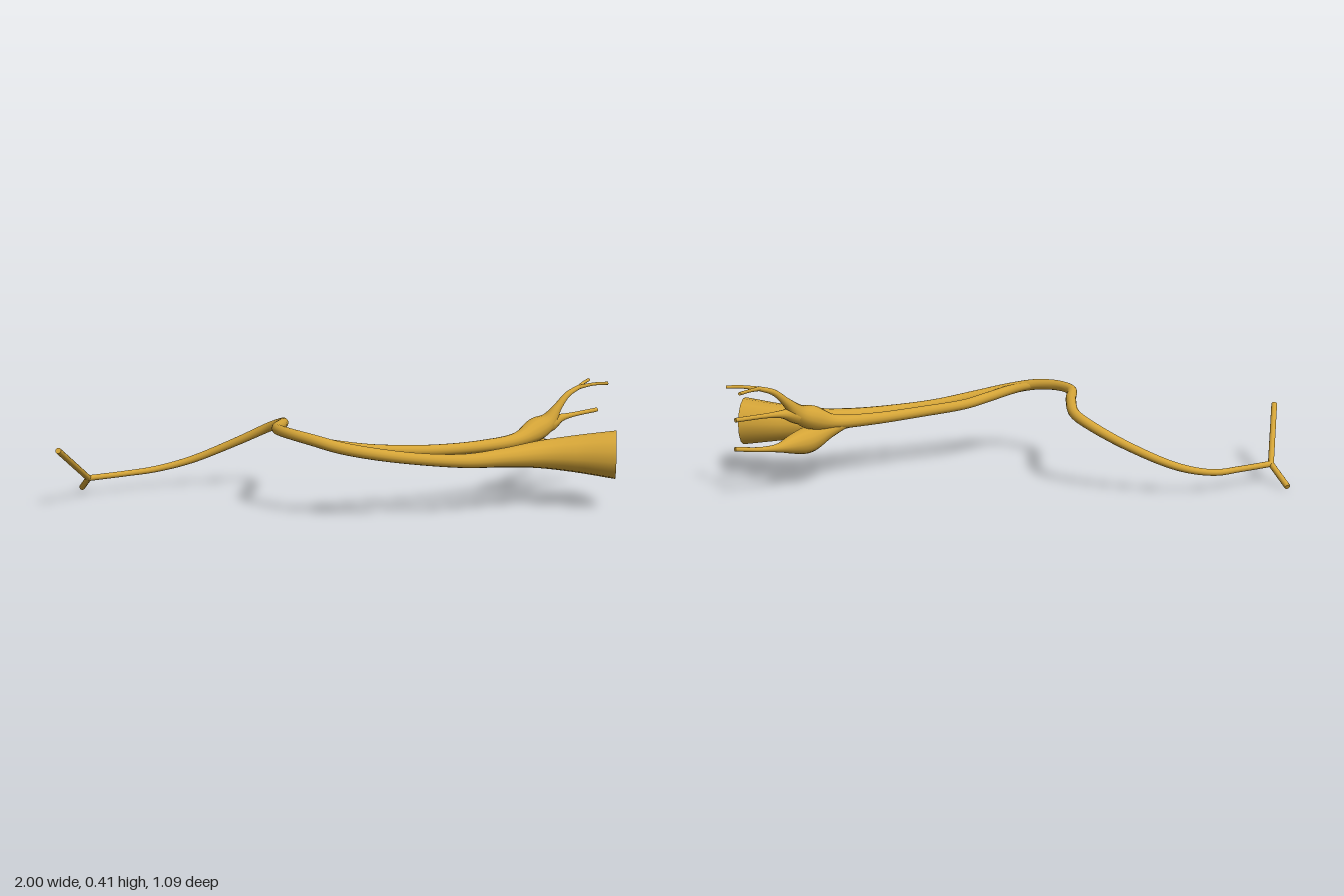
import * as THREE from 'three';

const ochre = new THREE.MeshStandardMaterial({ color: 0xd4a437 });
ochre.name = 'ochre';

// Smooth strand through [x, y, z, radius] stations, closed with flat caps
function strand(name, stations, segments = 40, sides = 14) {
  const group = new THREE.Group();
  group.name = name;
  const curve = new THREE.CatmullRomCurve3(stations.map(([x, y, z]) => new THREE.Vector3(x, y, z)));
  const radii = new THREE.CatmullRomCurve3(
    stations.map((s) => new THREE.Vector3(s[3], 0, 0)), false, 'catmullrom', 0.5);
  const geometry = new THREE.TubeGeometry(curve, segments, 1, sides);
  const pos = geometry.attributes.position;
  const v = new THREE.Vector3();
  for (let i = 0; i <= segments; i++) {
    const centre = curve.getPointAt(i / segments);
    const radius = radii.getPoint(curve.getUtoTmapping(i / segments)).x;
    for (let j = 0; j <= sides; j++) {
      const k = i * (sides + 1) + j;
      v.fromBufferAttribute(pos, k).sub(centre).multiplyScalar(radius).add(centre);
      pos.setXYZ(k, v.x, v.y, v.z);
    }
  }
  const tube = new THREE.Mesh(geometry, ochre);
  tube.name = name + 'Tube';
  group.add(tube);

  // End caps reuse the first and last rings
  for (const end of [0, 1]) {
    const points = [];
    const c = curve.getPointAt(end);
    const start = end * segments * (sides + 1);
    for (let j = 0; j < sides; j++) {
      const a = new THREE.Vector3().fromBufferAttribute(pos, start + j);
      const b = new THREE.Vector3().fromBufferAttribute(pos, start + j + 1);
      const n = b.clone().sub(a).cross(c.clone().sub(a));
      const outward = n.dot(curve.getTangentAt(end)) * (end ? 1 : -1) > 0;
      points.push(...(outward ? [a, b, c] : [b, a, c]));
    }
    const capGeometry = new THREE.BufferGeometry().setFromPoints(points);
    capGeometry.computeVertexNormals();
    const cap = new THREE.Mesh(capGeometry, ochre);
    cap.name = name + (end ? 'EndCap' : 'StartCap');
    group.add(cap);
  }
  return group;
}

export function createModel() {
  const model = new THREE.Group();
  model.name = 'branchingStrand';

  // Winding stem that swells into the wide cut end
  model.add(strand('mainStem', [
    [-0.84, 0.073, -0.44, 0.011],
    [-0.70, 0.075, -0.453, 0.011],
    [-0.58, 0.08, -0.462, 0.012],
    [-0.45, 0.11, -0.435, 0.014],
    [-0.29, 0.185, -0.355, 0.016],
    [-0.185, 0.252, -0.265, 0.018],
    [-0.163, 0.277, -0.195, 0.019],
    [-0.205, 0.297, -0.08, 0.019],
    [-0.262, 0.304, 0.03, 0.019],
    [-0.252, 0.304, 0.11, 0.019],
    [-0.20, 0.294, 0.20, 0.02],
    [-0.12, 0.272, 0.265, 0.021],
    [0, 0.247, 0.305, 0.021],
    [0.16, 0.222, 0.335, 0.021],
    [0.32, 0.208, 0.36, 0.025],
    [0.48, 0.205, 0.351, 0.035],
    [0.62, 0.205, 0.351, 0.05],
    [0.74, 0.206, 0.394, 0.067],
    [0.862, 0.207, 0.466, 0.087],
  ], 150, 14));

  // Forked tip at the thin end
  model.add(strand('tipLong', [[-0.84, 0.073, -0.44, 0.011], [-0.99, 0.232, -0.23, 0.011]], 2, 10));
  model.add(strand('tipShort', [[-0.84, 0.073, -0.44, 0.011], [-0.843, 0.015, -0.545, 0.011]], 2, 10));

  // Side branch running into the upper bulb and its high forked prong
  model.add(strand('upperBranch', [
    [-0.20, 0.293, 0.20, 0.012],
    [-0.12, 0.275, 0.238, 0.018],
    [-0.02, 0.255, 0.24, 0.019],
    [0.08, 0.24, 0.23, 0.019],
    [0.25, 0.228, 0.24, 0.02],
    [0.45, 0.225, 0.231, 0.022],
    [0.60, 0.235, 0.218, 0.027],
    [0.68, 0.262, 0.203, 0.043],
    [0.735, 0.285, 0.195, 0.034],
    [0.78, 0.332, 0.184, 0.017],
    [0.83, 0.378, 0.172, 0.011],
    [0.89, 0.402, 0.158, 0.008],
  ], 110, 14));
  model.add(strand('upperProngOuter', [
    [0.885, 0.4, 0.159, 0.008], [0.94, 0.41, 0.17, 0.006], [0.995, 0.412, 0.184, 0.006],
  ], 8, 10));
  model.add(strand('upperProngInner', [
    [0.885, 0.4, 0.159, 0.008], [0.93, 0.407, 0.117, 0.006], [0.975, 0.41, 0.079, 0.006],
  ], 8, 10));

  // Middle prong leaving the upper bulb
  model.add(strand('middleProng', [
    [0.69, 0.267, 0.2, 0.034],
    [0.75, 0.283, 0.193, 0.031],
    [0.80, 0.294, 0.18, 0.015],
    [0.86, 0.299, 0.165, 0.009],
    [0.98, 0.304, 0.135, 0.008],
  ], 30, 12));

  // Lower bulb and its prong
  model.add(strand('lowerBulb', [
    [0.55, 0.225, 0.223, 0.017],
    [0.62, 0.205, 0.216, 0.028],
    [0.70, 0.183, 0.206, 0.047],
    [0.76, 0.176, 0.197, 0.036],
    [0.82, 0.174, 0.178, 0.016],
    [0.89, 0.182, 0.157, 0.009],
    [0.985, 0.2, 0.138, 0.008],
  ], 50, 14));

  return model;
}
